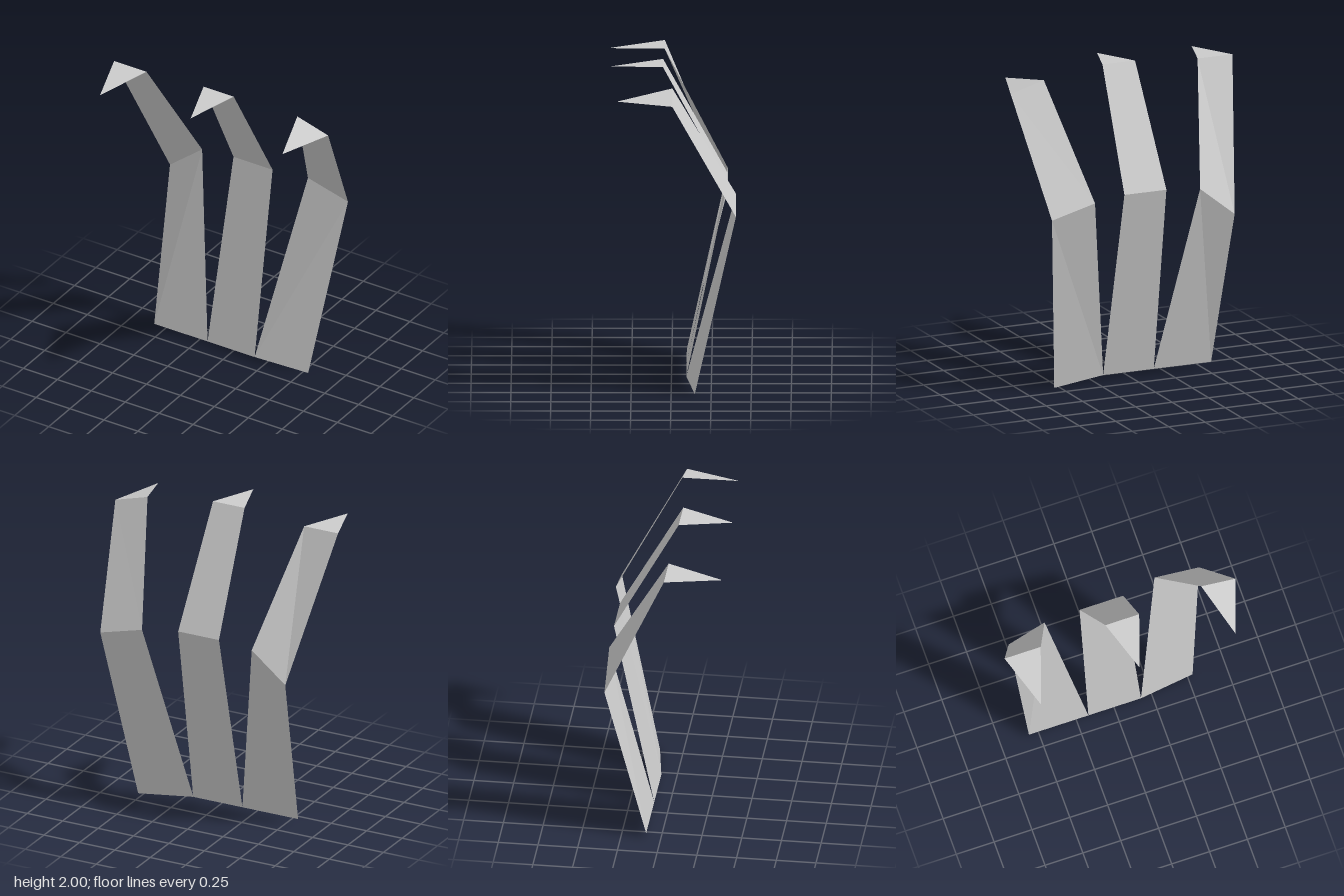
import * as THREE from 'three';

const material = new THREE.MeshStandardMaterial({
  color: 0xcccccc, flatShading: true, side: THREE.DoubleSide,
});

// Each blade: root, bend and shoulder edges (low x end, high x end), then its tip.
const blades = [
  {
    name: 'rightBlade',
    rows: [
      [[-0.565, 0.03, -0.093], [-0.172, 0.03, -0.093]],
      [[-0.61, 1.05, -0.35], [-0.373, 1.24, -0.35]],
      [[-0.774, 1.965, 0.045], [-0.535, 1.965, 0.045]],
    ],
    tip: [-0.655, 1.94, 0.4],
  },
  {
    name: 'middleBlade',
    rows: [
      [[-0.172, 0.03, -0.093], [0.175, 0.03, -0.093]],
      [[-0.142, 1.262, -0.35], [0.146, 1.262, -0.35]],
      [[-0.11, 2.0, 0.053], [0.113, 2.0, 0.053]],
    ],
    tip: [0.002, 1.978, 0.382],
  },
  {
    name: 'leftBlade',
    rows: [
      [[0.175, 0.03, -0.093], [0.535, 0.003, -0.148]],
      [[0.372, 1.248, -0.405], [0.667, 1.17, -0.405]],
      [[0.543, 1.965, -0.008], [0.77, 1.9, -0.008]],
    ],
    tip: [0.65, 1.905, 0.338],
  },
];

// Thin facet from three or four corners, anticlockwise from the front
function facet(name, corners) {
  const geometry = new THREE.BufferGeometry();
  geometry.setAttribute('position', new THREE.Float32BufferAttribute(corners.flat(), 3));
  geometry.setIndex(corners.length === 4 ? [0, 1, 2, 0, 2, 3] : [0, 1, 2]);
  const flat = geometry.toNonIndexed();
  flat.computeVertexNormals();
  const mesh = new THREE.Mesh(flat, material);
  mesh.name = name;
  return mesh;
}

export function createModel() {
  const model = new THREE.Group();
  model.name = 'bentBlades';
  for (const { name, rows, tip } of blades) {
    const [root, bend, shoulder] = rows;
    const blade = new THREE.Group();
    blade.name = name;
    blade.add(
      facet('lowerPanel', [root[0], root[1], bend[1], bend[0]]),
      facet('upperPanel', [bend[0], bend[1], shoulder[1], shoulder[0]]),
      facet('pointedTip', [shoulder[0], tip, shoulder[1]]),
    );
    model.add(blade);
  }
  return model;
}
